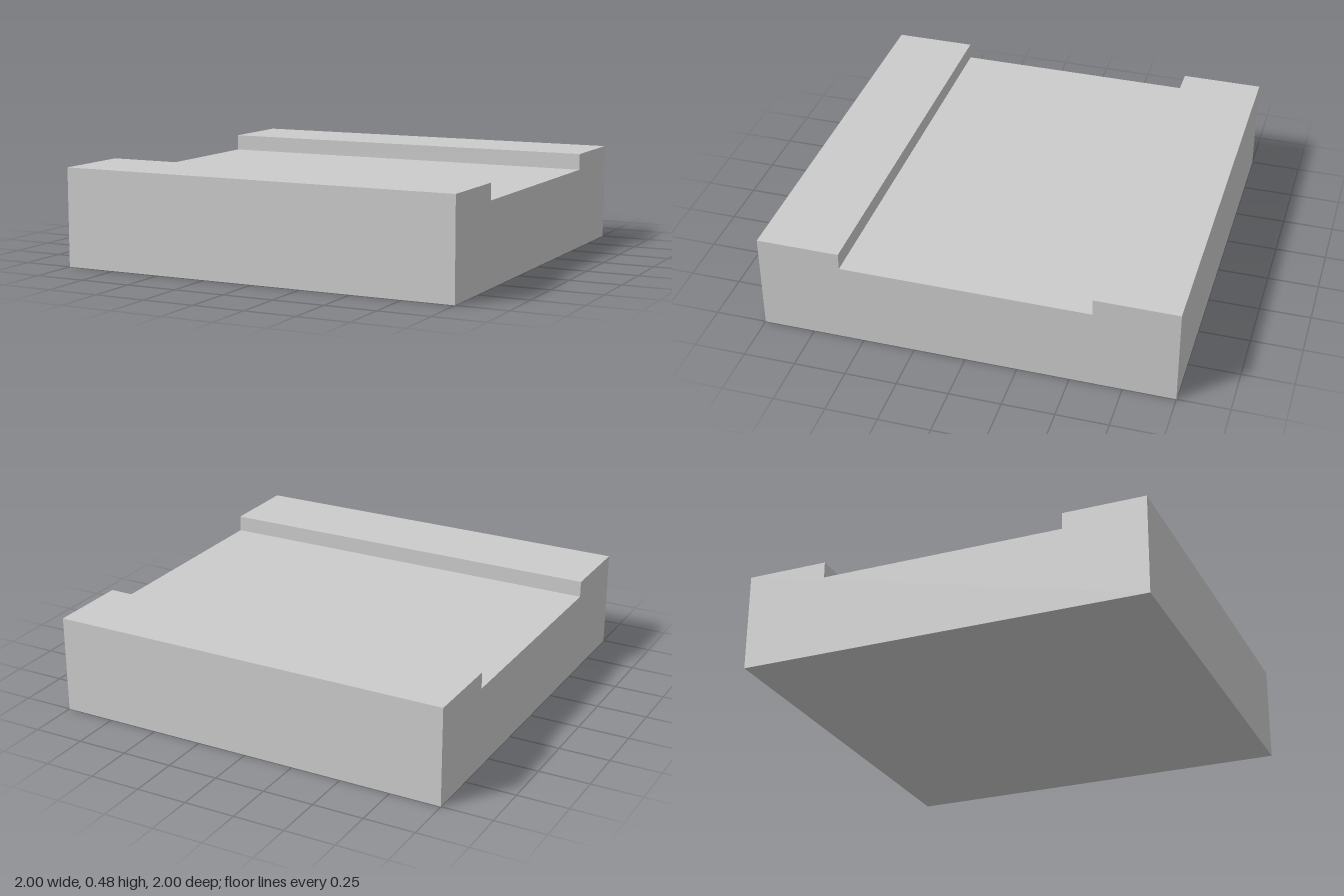
import * as THREE from 'three';

export function createModel() {
  const group = new THREE.Group();
  group.name = 'channelledBlock';

  const length = 2, half = 1, channelHalf = 0.6, floorY = 0.4, topY = 0.48;

  // Side profile: a slab with a raised ledge along the front and back
  const profile = new THREE.Shape([
    [-half, 0], [half, 0], [half, topY], [channelHalf, topY],
    [channelHalf, floorY], [-channelHalf, floorY], [-channelHalf, topY], [-half, topY],
  ].map(([z, y]) => new THREE.Vector2(z, y)));

  // Run the profile from side to side along x
  const geometry = new THREE.ExtrudeGeometry(profile, { depth: length, bevelEnabled: false });
  geometry.translate(0, 0, -length / 2);
  geometry.rotateY(Math.PI / 2);

  const block = new THREE.Mesh(
    geometry,
    new THREE.MeshStandardMaterial({ color: 0xcccccc, flatShading: true })
  );
  block.name = 'slabWithLedges';
  group.add(block);
  return group;
}
